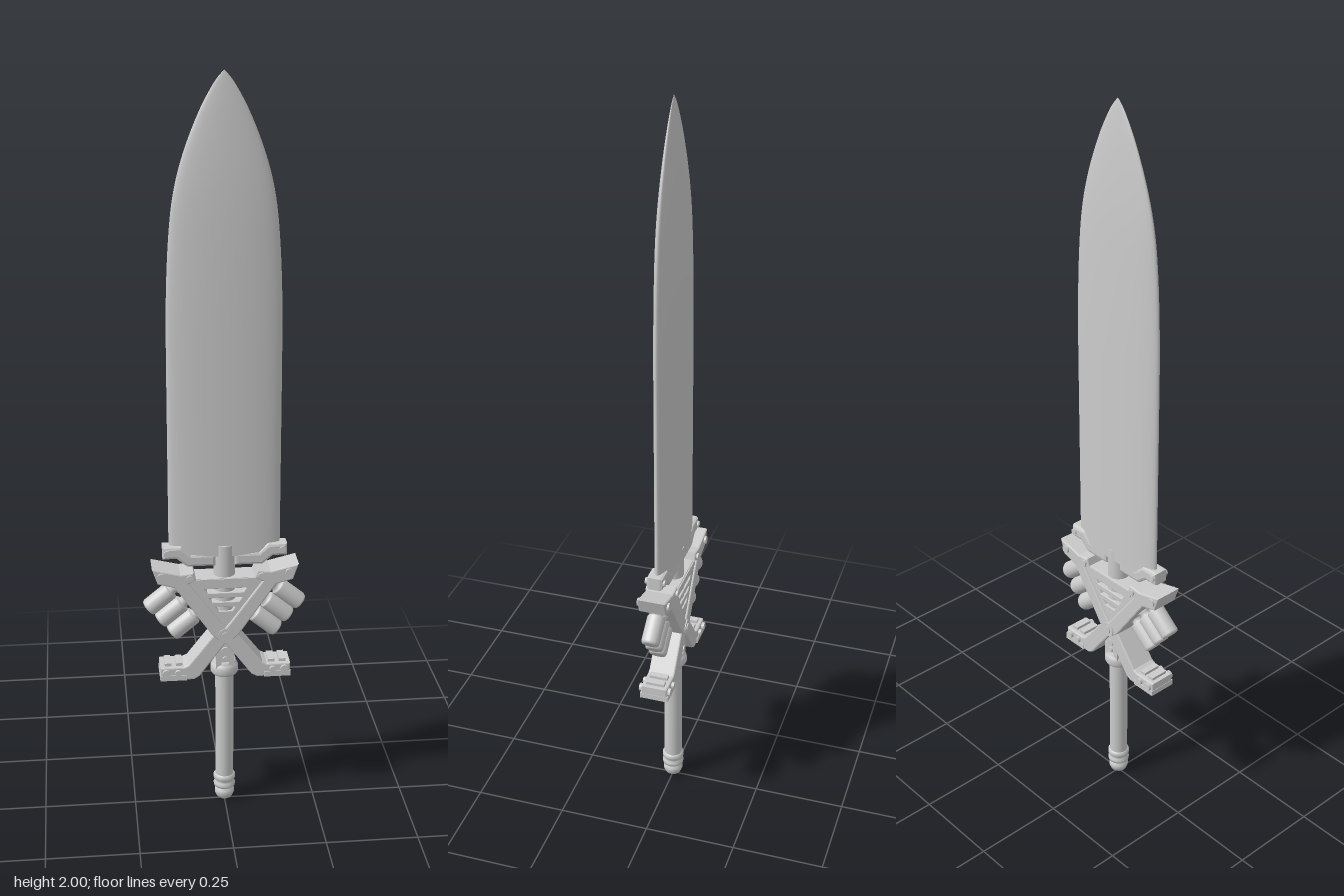
import * as THREE from 'three';

const grey = new THREE.MeshStandardMaterial({ color: 0xcccccc });
const V2 = (p) => new THREE.Vector2(p[0], p[1]);

function add(parent, name, geometry, x = 0, y = 0, z = 0) {
  const mesh = new THREE.Mesh(geometry, grey);
  mesh.name = name;
  mesh.position.set(x, y, z);
  parent.add(mesh);
  return mesh;
}

// Flat plate cut from an outline, centred on z = 0, total thickness t
function plate(points, t, bevel = 0.004, holes = []) {
  const shape = new THREE.Shape(points.map(V2));
  holes.forEach((h) => shape.holes.push(new THREE.Path(h.map(V2))));
  const g = new THREE.ExtrudeGeometry(shape, {
    depth: t - 2 * bevel, bevelEnabled: bevel > 0, bevelThickness: bevel,
    bevelSize: bevel, bevelOffset: -bevel, bevelSegments: 2,
  });
  return g.translate(0, 0, -t / 2 + bevel);
}

// Mirror an outline in x, keeping the winding order
const flip = (pts, s) => (s > 0 ? pts : pts.map(([x, y]) => [-x, y]).reverse());

// Short pin running right through the part, showing on both faces
function bolt(parent, x, y, r, halfZ) {
  add(parent, 'bolt', new THREE.CylinderGeometry(r, r, halfZ * 2, 16).rotateX(Math.PI / 2), x, y);
}

function lathe(points, seg = 28) {
  return new THREE.LatheGeometry(points.map(V2), seg);
}

export function createModel() {
  const model = new THREE.Group();
  model.name = 'sword';

  // Blade: a lathed outline flattened to a lens section
  const edge = new THREE.SplineCurve([
    [0.148, 0.75], [0.148, 1.0], [0.148, 1.25], [0.147, 1.42], [0.14, 1.58], [0.127, 1.7],
    [0.102, 1.8], [0.063, 1.9], [0.025, 1.97], [0, 2.0],
  ].map(V2)).getPoints(54).map((p) => [Math.max(p.x, 0), Math.min(p.y, 2)]);
  const bladeGeo = lathe([[0, 0.75], [0.148, 0.75], ...edge], 48);
  bladeGeo.scale(1, 1, 0.17);
  add(model, 'blade', bladeGeo, 0, 0, -0.002);

  // Grip, pommel rings and collar
  add(model, 'grip', new THREE.CylinderGeometry(0.025, 0.025, 0.36, 28), 0, 0.24);
  add(model, 'pommel', lathe([
    [0, 0], [0.012, 0.002], [0.022, 0.01], [0.027, 0.022], [0.027, 0.032], [0.022, 0.037],
    [0.022, 0.041], [0.029, 0.044], [0.03, 0.052], [0.026, 0.057], [0.025, 0.064],
    [0.03, 0.068], [0.03, 0.078], [0.025, 0.082],
  ]));
  add(model, 'collar', lathe([
    [0.02, 0.395], [0.034, 0.398], [0.038, 0.405], [0.038, 0.42], [0.034, 0.428],
    [0.03, 0.432], [0.03, 0.44], [0, 0.44],
  ]));

  // Central spine between grip and blade
  const guard = new THREE.Group();
  guard.name = 'guard';
  model.add(guard);
  add(guard, 'lowerSpine', new THREE.BoxGeometry(0.05, 0.15, 0.056), 0, 0.48);
  add(guard, 'upperSpine', new THREE.CylinderGeometry(0.029, 0.029, 0.2, 28), 0, 0.68);
  bolt(guard, 0, 0.475, 0.011, 0.033);
  bolt(guard, 0, 0.45, 0.008, 0.033);

  // Triangular grille with stacked slots
  const slots = [[0.655, 0.056], [0.628, 0.044], [0.601, 0.026]].map(([y, w]) =>
    [[-w, y + 0.006], [w, y + 0.006], [w - 0.008, y - 0.006], [-w + 0.008, y - 0.006]]);
  add(guard, 'grillePlate',
    plate([[-0.11, 0.692], [0, 0.54], [0.11, 0.692]], 0.066, 0.002, slots));
  add(guard, 'grilleTopBar', new THREE.BoxGeometry(0.17, 0.014, 0.072), 0, 0.683);

  const upperArm = [
    [0.195, 0.726], [0.12, 0.708], [0.085, 0.712], [0.078, 0.69], [0.098, 0.68],
    [0.012, 0.562], [-0.014, 0.53], [0.012, 0.505], [0.035, 0.525], [0.135, 0.67], [0.18, 0.682],
  ];
  const lowerArm = [
    [-0.012, 0.545], [-0.02, 0.525], [0.0, 0.5], [0.07, 0.405], [0.085, 0.396], [0.176, 0.396],
    [0.176, 0.434], [0.112, 0.434], [0.1, 0.44], [0.03, 0.53], [0.012, 0.55],
  ];
  const topBar = [
    [0.165, 0.78], [0.115, 0.78], [0.09, 0.757], [0.025, 0.757], [0.025, 0.722],
    [0.1, 0.722], [0.128, 0.745], [0.165, 0.745],
  ];

  for (const s of [1, -1]) {
    const side = new THREE.Group();
    side.name = s > 0 ? 'leftGuard' : 'rightGuard';
    guard.add(side);

    // Crossing arms and the cranked bar holding the blade
    add(side, 'upperArm', plate(flip(upperArm, s), 0.077));
    add(side, 'lowerArm', plate(flip(lowerArm, s), 0.073));
    add(side, 'foot', new THREE.BoxGeometry(0.072, 0.015, 0.078), s * 0.141, 0.404);
    add(side, 'bladeBar', plate(flip(topBar, s), 0.046, 0.008));
    bolt(side, s * 0.153, 0.763, 0.009, 0.027);
    bolt(side, s * 0.17, 0.704, 0.011, 0.044);
    bolt(side, s * 0.095, 0.697, 0.009, 0.044);
    bolt(side, s * 0.128, 0.419, 0.009, 0.044);
    bolt(side, s * 0.16, 0.419, 0.011, 0.044);
    for (const x of [0.125, 0.155]) add(side, 'footStud', new THREE.BoxGeometry(0.018, 0.01, 0.05), s * x, 0.437);

    // Row of three canisters square to the upper arm
    const row = new THREE.Group();
    row.name = 'canisters';
    row.position.set(s * 0.105, 0.617, 0);
    row.rotation.z = s * -(Math.PI / 2 + 0.69);
    side.add(row);
    for (const i of [-1, 0, 1]) {
      add(row, 'canister', lathe([
        [0, -0.045], [0.012, -0.045], [0.012, -0.012], [0.019, -0.012], [0.019, -0.002],
        [0.015, -0.002], [0.015, 0.008], [0.022, 0.01], [0.0245, 0.014], [0.0245, 0.082],
        [0.022, 0.088], [0.016, 0.09], [0, 0.09],
      ], 24), i * 0.049, 0, 0);
    }
  }

  // Hub pin where the arms cross
  add(guard, 'hubPin', new THREE.CylinderGeometry(0.021, 0.021, 0.082, 24).rotateX(Math.PI / 2), 0, 0.525);
  add(guard, 'hubPinCore', new THREE.CylinderGeometry(0.012, 0.012, 0.088, 6).rotateX(Math.PI / 2), 0, 0.525);
  return model;
}
